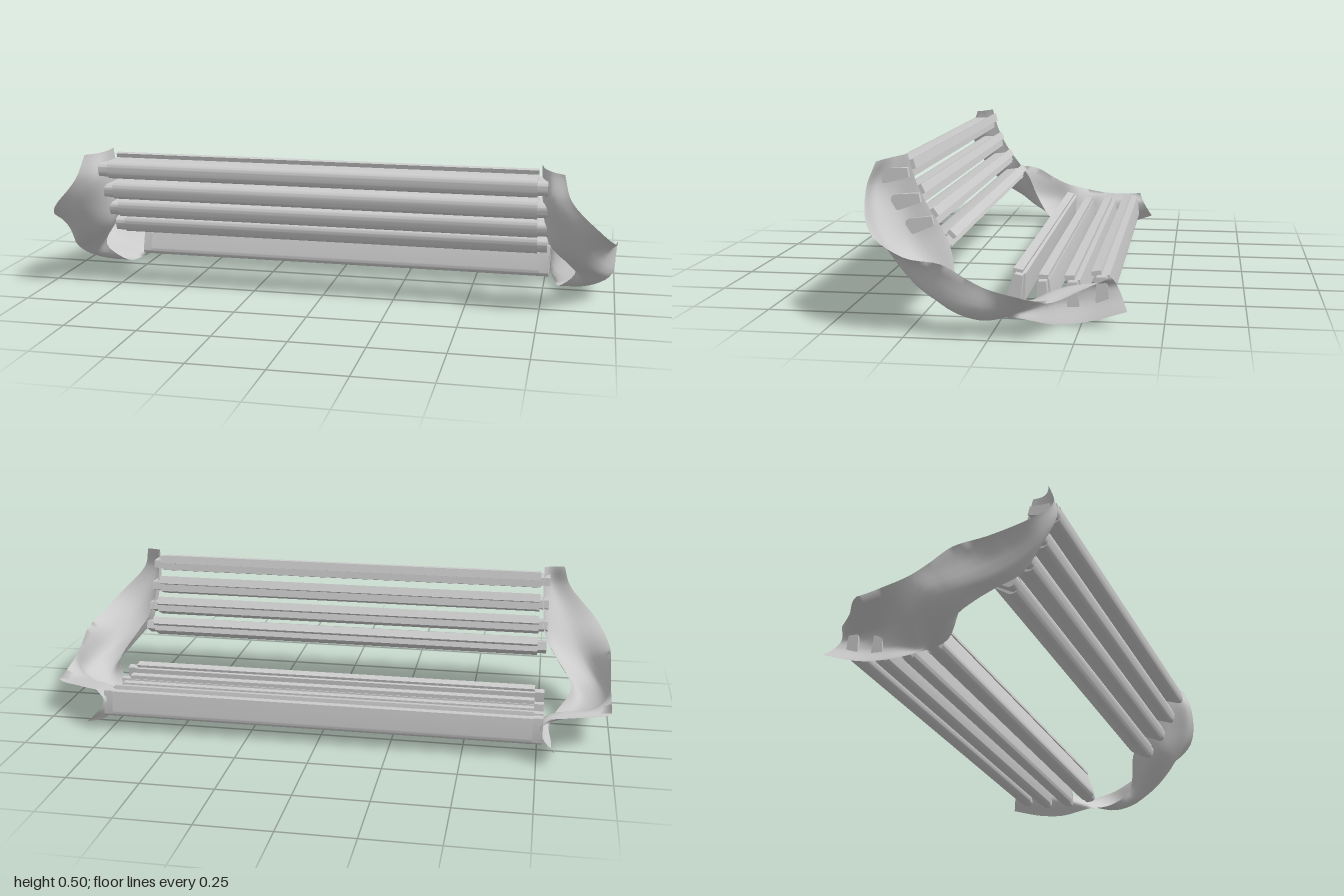
import * as THREE from 'three';
import { ParametricGeometry } from 'three/addons/geometries/ParametricGeometry.js';
import { toCreasedNormals } from 'three/addons/utils/BufferGeometryUtils.js';

const grey = new THREE.MeshStandardMaterial({ color: 0xcccccc });
const sheet = new THREE.MeshStandardMaterial({ color: 0xcccccc, side: THREE.DoubleSide });

// Stations along the side ribbon, from the top of the backrest to the rear of the seat:
// [inner z, y], [outer z, y], then four section points [share from inner to outer, x]
const stations = [
  [[0.29, 0.505], [0.37, 0.49], [0, 0.745], [0.4, 0.755], [0.75, 0.78], [1, 0.82]],
  [[0.265, 0.42], [0.395, 0.41], [0, 0.745], [0.5, 0.755], [0.9, 0.78], [1, 0.845]],
  [[0.225, 0.34], [0.36, 0.3], [0, 0.75], [0.6, 0.765], [1, 0.83], [1, 0.945]],
  [[0.18, 0.275], [0.3, 0.205], [0, 0.76], [0.75, 0.785], [1, 0.88], [0.55, 0.995]],
  [[0.13, 0.225], [0.22, 0.135], [0.15, 0.8], [0.75, 0.83], [1, 0.93], [0.05, 1]],
  [[0.06, 0.18], [0.13, 0.07], [0.7, 0.865], [1, 0.9], [0.8, 0.975], [0, 1]],
  [[0, 0.152], [0.04, 0.025], [1, 0.81], [0.97, 0.89], [0.6, 0.98], [0, 1]],
  [[-0.09, 0.13], [-0.06, 0.012], [1, 0.79], [0.85, 0.785], [0.5, 0.88], [0, 1]],
  [[-0.17, 0.12], [-0.17, 0], [1, 0.8], [0.5, 0.765], [0.12, 0.8], [0.03, 1]],
  [[-0.26, 0.13], [-0.27, 0.012], [1, 0.8], [0.5, 0.76], [0.1, 0.765], [0, 0.885]],
  [[-0.34, 0.15], [-0.39, 0.05], [1, 0.81], [0.6, 0.77], [0.3, 0.76], [0, 0.79]],
];

// Twisting sheet that closes one side
function ribbon(side) {
  const rails = [2, 3, 4, 5].map((k) => new THREE.CatmullRomCurve3(stations.map((s) => {
    const [f, x] = s[k];
    return new THREE.Vector3(x * side,
      THREE.MathUtils.lerp(s[0][1], s[1][1], f), THREE.MathUtils.lerp(s[0][0], s[1][0], f));
  })));
  const geo = new ParametricGeometry((u, v, p) => {
    const section = new THREE.CatmullRomCurve3(rails.map((r) => r.getPoint(v)));
    p.copy(section.getPoint(u));
    p.x = THREE.MathUtils.clamp(p.x, -1, 1);
    p.y = Math.max(p.y, 0);
  }, 14, 50);
  const mesh = new THREE.Mesh(geo, sheet);
  mesh.name = side > 0 ? 'leftRibbon' : 'rightRibbon';
  return mesh;
}

// Bar along x: narrow at the inner point a, wide and rounded at the outer point b ([z, y])
function bar(name, a, b, wa, wb, x0, x1) {
  const A = new THREE.Vector2(-a[0], a[1]), B = new THREE.Vector2(-b[0], b[1]);
  const d = B.clone().sub(A).normalize(), n = new THREE.Vector2(-d.y, d.x);
  const at = (o, along, across) => o.clone().addScaledVector(d, along).addScaledVector(n, across);
  const s = new THREE.Shape();
  const move = (fn, ...pts) => s[fn](...pts.flatMap((p) => [p.x, p.y]));
  const r = wb * 0.4;
  move('moveTo', at(A, 0, -wa / 2));
  move('lineTo', at(B, -r, -wb / 2));
  move('quadraticCurveTo', at(B, 0, -wb / 2), at(B, 0, -wb / 2 + r));
  move('lineTo', at(B, 0, wb / 2 - r));
  move('quadraticCurveTo', at(B, 0, wb / 2), at(B, -r, wb / 2));
  move('lineTo', at(A, 0, wa / 2));
  s.closePath();
  const geo = new THREE.ExtrudeGeometry(s, { depth: x1 - x0, bevelEnabled: false, curveSegments: 8 });
  geo.translate(0, 0, x0).rotateY(Math.PI / 2);
  const mesh = new THREE.Mesh(toCreasedNormals(geo, 0.6), grey);
  mesh.name = name;
  return mesh;
}

// Slats: inner point, outer point, inner and outer width, strip centre [z, y], strip tilt
const slats = {
  backSlat: [
    [[0.285, 0.45], [0.378, 0.437], 0.042, 0.062, [0.278, 0.472], 1.3],
    [[0.25, 0.373], [0.338, 0.355], 0.042, 0.065, [0.252, 0.395], 1.1],
    [[0.21, 0.303], [0.293, 0.28], 0.042, 0.065, [0.212, 0.322], 0.95],
    [[0.165, 0.238], [0.24, 0.21], 0.042, 0.065, [0.158, 0.256], 0.8],
  ],
  seatSlat: [
    [[-0.055, 0.143], [-0.035, 0.035], 0.036, 0.06, [-0.048, 0.147], 0.2],
    [[-0.127, 0.124], [-0.13, 0.025], 0.036, 0.05, [-0.127, 0.131], 0],
    [[-0.22, 0.125], [-0.224, 0.03], 0.04, 0.052, [-0.208, 0.131], -0.05],
    [[-0.308, 0.143], [-0.313, 0.05], 0.046, 0.055, [-0.29, 0.148], -0.2],
  ],
};

export function createModel() {
  const model = new THREE.Group();
  model.name = 'slattedBench';
  model.add(ribbon(1), ribbon(-1));

  for (const [name, list] of Object.entries(slats)) {
    list.forEach(([a, b, wa, wb, c, tilt], i) => {
      const g = new THREE.Group();
      g.name = name + (i + 1);
      g.add(bar('slatBody', a, b, wa, wb, -0.735, 0.735));

      // Slimmer ends that pass through the ribbons
      for (const x of [-0.768, 0.735]) g.add(bar('slatEnd', a, b, wa * 0.7, wb * 0.75, x, x + 0.033));

      // Thin strip on the inner edge
      const strip = new THREE.Mesh(new THREE.BoxGeometry(1.47, 0.014, 0.03), grey);
      strip.name = 'slatStrip';
      strip.position.set(0, c[1], c[0]);
      strip.rotation.x = -tilt;
      g.add(strip);
      model.add(g);
    });
  }
  return model;
}
